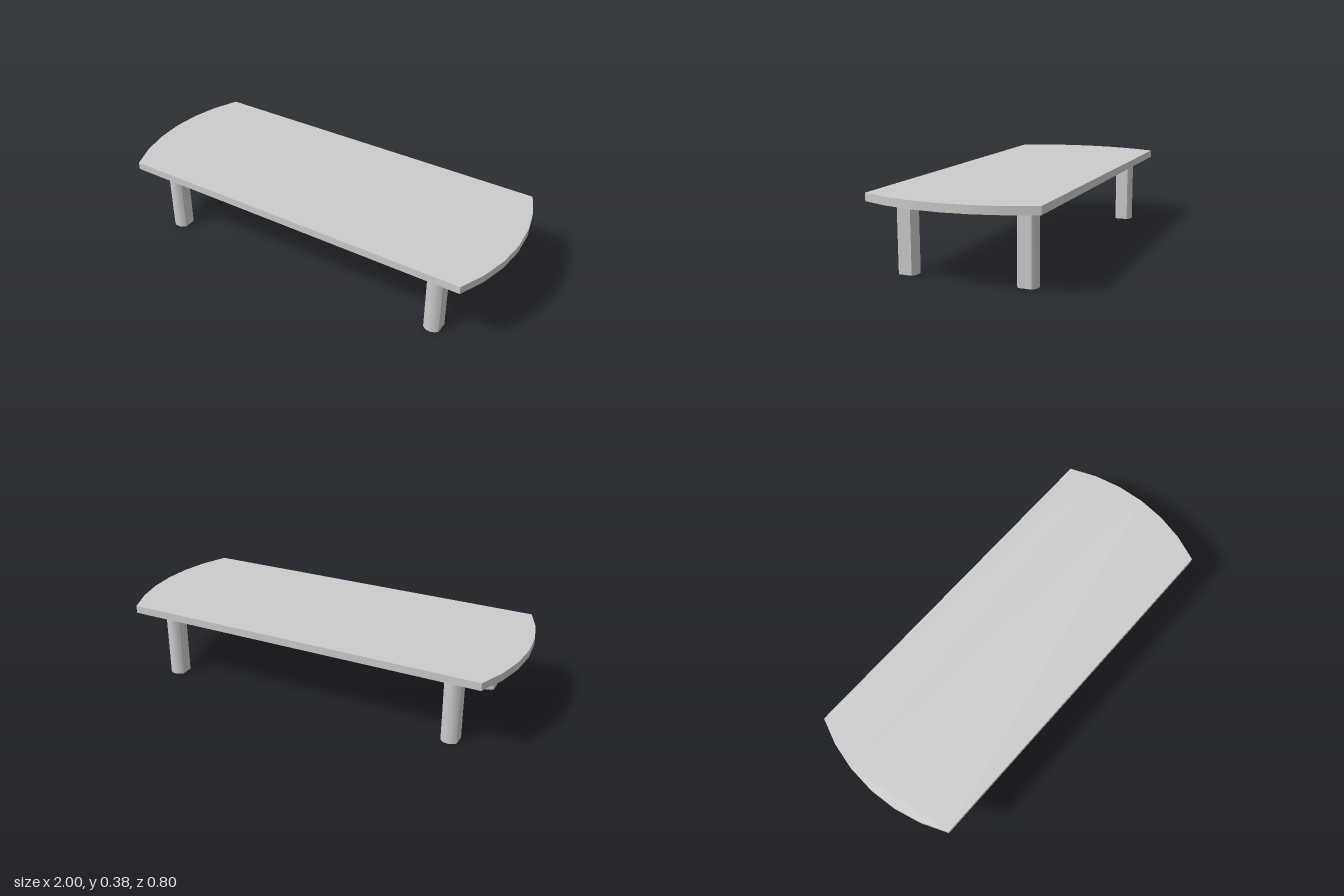
import * as THREE from 'three';
import { toCreasedNormals } from 'three/addons/utils/BufferGeometryUtils.js';

const material = new THREE.MeshStandardMaterial({ color: 0xcccccc });

// Points of a shallow circular bow across width 2w, bulging by sag
function bow(w, sag, steps = 6) {
  const r = (w * w + sag * sag) / (2 * sag);
  const a = Math.asin(w / r);
  return Array.from({ length: steps + 1 }, (_, i) => {
    const t = a - (2 * a * i) / steps;
    return new THREE.Vector2(r * Math.sin(t), sag - r + r * Math.cos(t));
  });
}

// Upright prism: straight sides at x = +-w, bowed ends at z = front and z = back
function bowedPrism(w, front, back, frontSag, backSag, height) {
  const points = [
    ...bow(w, backSag).map(p => new THREE.Vector2(p.x, p.y - back)),
    ...bow(w, frontSag).map(p => new THREE.Vector2(-p.x, -p.y - front)),
  ];
  const geometry = new THREE.ExtrudeGeometry(new THREE.Shape(points), {
    depth: height, bevelEnabled: false,
  });
  geometry.rotateX(-Math.PI / 2);
  return toCreasedNormals(geometry, Math.PI / 7);
}

export function createModel() {
  const table = new THREE.Group();
  table.name = 'table';
  const topY = 0.343;

  // Long top with bowed ends
  const top = new THREE.Mesh(bowedPrism(0.4, 0.905, -0.905, 0.095, 0.095, 0.037), material);
  top.name = 'tableTop';
  top.rotation.y = Math.PI / 2;
  top.position.y = topY;
  table.add(top);

  // Four legs, the deeper bow facing outward
  const legGeometry = bowedPrism(0.039, 0.312, 0.252, 0.02, 0.015, topY);
  for (const end of ['front', 'back']) {
    for (const side of [-1, 1]) {
      const leg = new THREE.Mesh(legGeometry, material);
      leg.name = end + (side > 0 ? 'Left' : 'Right') + 'Leg';
      leg.position.x = side * 0.751;
      if (end === 'back') leg.rotation.y = Math.PI;
      table.add(leg);
    }
  }
  return table;
}
